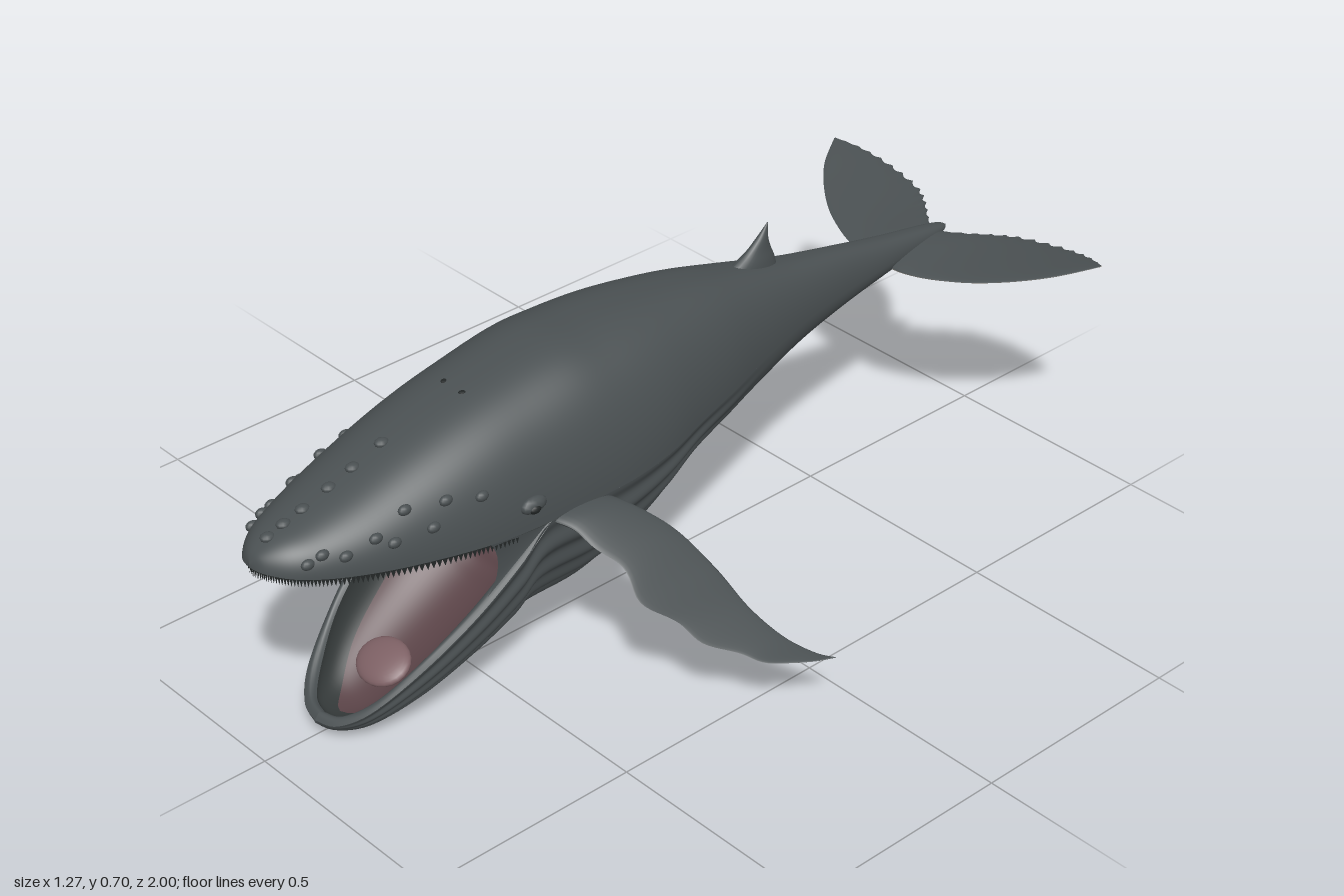
import * as THREE from 'three';

const mat = (name, color) => {
  const m = new THREE.MeshStandardMaterial({ color, side: THREE.DoubleSide });
  m.name = name;
  return m;
};
const lerp = THREE.MathUtils.lerp;

// Smooth interpolation through a table of rows, t in 0..1
function spline(rows, t) {
  const n = rows.length - 1, f = Math.min(Math.max(t, 0), 1) * n;
  const i = Math.min(Math.floor(f), n - 1), s = f - i;
  const p = k => rows[Math.min(Math.max(i + k, 0), n)];
  return rows[0].map((_, c) => {
    const [a, b, d, e] = [p(-1)[c], p(0)[c], p(1)[c], p(2)[c]];
    return b + 0.5 * s * (d - a + s * (2 * a - 5 * b + 4 * d - e + s * (3 * (b - d) + e - a)));
  });
}

// Surface grid from fn(u, v) -> [x, y, z]; front side is du x dv unless flipped
function grid(fn, nu, nv, flip = false) {
  const pos = [], idx = [];
  for (let i = 0; i <= nu; i++) for (let j = 0; j <= nv; j++) pos.push(...fn(i / nu, j / nv));
  for (let i = 0; i < nu; i++) for (let j = 0; j < nv; j++) {
    const a = i * (nv + 1) + j, b = a + nv + 1;
    if (flip) idx.push(a, a + 1, b, b, a + 1, b + 1);
    else idx.push(a, b, a + 1, b, b + 1, a + 1);
  }
  const g = new THREE.BufferGeometry();
  g.setAttribute('position', new THREE.Float32BufferAttribute(pos, 3));
  g.setIndex(idx);
  g.computeVertexNormals();
  return g;
}

// Half-oval section: row = [rimZ, rimY, halfWidth, ridgeZ, ridgeY], angle 0..PI, k scale, e fullness
function arch([z, y, w, rz, ry], a, k = 1, e = 1) {
  const c = Math.cos(a), s = Math.sin(a) * k;
  return [Math.max(w, 0) * Math.sign(c) * Math.abs(c) ** e * k, y + (ry - y) * s, z + (rz - z) * s];
}
const backPoint = (u, a) => arch(spline(upper, u), a, 1, .78);

// Trunk stations: z, side line y, half width, back y, belly y
const trunk = [
  [.43, .41, .207, .668, .12], [.3, .415, .214, .69, .13], [.2, .42, .214, .69, .165],
  [.1, .43, .203, .687, .22], [0, .445, .18, .678, .285], [-.12, .455, .15, .66, .32],
  [-.25, .465, .112, .63, .352], [-.4, .475, .075, .592, .39], [-.55, .48, .05, .562, .42],
  [-.7, .485, .036, .532, .448], [-.82, .488, .025, .512, .468], [-.88, .49, .014, .5, .48],
  [-.9, .49, 0, .49, .49],
];
const snout = [
  [1, .462, 0, 1, .47], [.99, .46, .036, .985, .492], [.95, .452, .08, .945, .514],
  [.88, .442, .118, .88, .533], [.78, .432, .154, .78, .565], [.65, .42, .183, .65, .61],
  [.54, .412, .199, .54, .643],
];
const jaw = [
  [.875, .036, 0, .875, .03], [.86, .042, .052, .85, .012], [.81, .08, .104, .785, 0],
  [.71, .16, .15, .68, .02], [.6, .25, .182, .56, .065], [.5, .34, .2, .475, .1],
];
const upper = [...snout, ...trunk.map(([z, y, w, t]) => [z, y, w, z, t])];
const lower = [...jaw, ...trunk.map(([z, y, w, , b]) => [z, y, w, z, b])];
const jawOuter = lower.slice(0, 7);
const jawInner = jawOuter.map(([z, y, w, kz, ky], i) => {
  const tip = i < 3 ? .025 : 0;
  return [z - tip, y + tip * .3, w * .86, lerp(kz, z, .2) - tip, lerp(ky, y, .2) + .01];
});
const liner = [...jawInner, [.35, .405, .165, .35, .2], [.25, .4, 0, .25, .4]];
const palate = [
  ...upper.slice(0, 8).map(([z, y, w], i) => [z, y, w, z, y - .001 * i]),
  [.35, .405, .175, .35, .39], [.25, .4, 0, .25, .4],
];

export function createModel() {
  const whale = new THREE.Group();
  whale.name = 'whale';
  const skin = mat('slate skin', 0x4a5052);
  const pale = mat('pale fluke underside', 0xb0a99d);
  const pink = mat('mouth pink', 0x5a4347);
  const tonguePink = mat('tongue pink', 0x7d6064);
  const lining = mat('mouth lining', 0x343939);
  const roof = mat('palate grey', 0x565c5d);
  const dark = mat('baleen dark', 0x232727);

  const add = (name, geo, m) => {
    const mesh = new THREE.Mesh(geo, m);
    mesh.name = name;
    whale.add(mesh);
    return mesh;
  };
  const pair = (name, geo, m) => {
    add('left' + name, geo, m);
    add('right' + name, geo, m).scale.x = -1;
  };

  // Back and head, then the pleated throat and belly
  add('back', grid((u, v) => backPoint(u, v * Math.PI), 110, 56), skin);
  add('pleatedBelly', grid((u, v) => {
    const row = spline(lower, u), a = v * Math.PI;
    const fade = THREE.MathUtils.smoothstep(u, .02, .15) * THREE.MathUtils.smoothstep(row[0], -.3, .15);
    return arch(row, a, 1 - .019 * fade * (1 - Math.cos(26 * a)));
  }, 100, 140, true), skin);

  // Mouth interior: grey lining with an oval pink floor
  add('mouthLining', grid((u, v) => arch(spline(liner, u), v * Math.PI), 50, 40), lining);
  add('mouthFloor', grid((u, v) => {
    const spread = .33 * Math.sqrt(Math.sin(u * Math.PI));
    return arch(spline(liner, lerp(.16, .94, u)), (.5 + spread * (2 * v - 1)) * Math.PI, .965);
  }, 50, 30), pink);
  pair('JawLip', grid((u, v) => {
    const a = arch(spline(jawOuter, u), 0), b = arch(spline(jawInner, u), 0);
    return a.map((p, i) => lerp(p, b[i], v) + (i === 1 ? .01 * Math.sin(v * Math.PI) : 0));
  }, 40, 6), skin);
  const tongue = add('tongueTip', new THREE.SphereGeometry(1, 24, 16), tonguePink);
  tongue.scale.set(.066, .02, .055);
  tongue.position.set(0, .092, .7);
  tongue.rotation.x = .5;

  // Roof of the mouth and the fold at its back
  add('palate', grid((u, v) => arch(spline(palate, u), v * Math.PI), 50, 20, true), lining);
  add('palateFold', grid((u, v) => {
    const x = 2 * u - 1;
    return [x * lerp(.13, .16, v), lerp(.355 + .014 * x * x, .416, v), lerp(.47, .53, v) - .03 * x * x];
  }, 20, 4), roof);

  // Skin stretched between the jaws at each mouth corner
  pair('Cheek', grid((u, v) => {
    const edge = spline([[.19, .42, .575], [.184, .37, .55], [.18, .31, .555], [.176, .25, .6]], v);
    return [.204, .41, .43].map((h, i) => lerp(h, edge[i], u));
  }, 8, 12), skin);

  // Baleen fringe under the upper lip
  const teeth = 140;
  pair('Baleen', grid((u, v) => {
    const [z, y, w] = spline(upper, u * 6.3 / (upper.length - 1));
    const tip = Math.round(u * teeth) % 2 ? .028 : .012;
    return [Math.max(w - .008, 0), y + .004 - v * tip, z - .006];
  }, teeth, 1), dark);

  // Bumps, eyes and blowholes seated on the head
  const headPoint = (z, a) => {
    let t = 0;
    while (t < 1 && spline(upper, t)[0] > z) t += .002;
    return backPoint(t, a * Math.PI);
  };
  const bumpGeo = new THREE.SphereGeometry(1, 12, 8);
  const bump = (name, z, a, sx, sy, sz, m = skin) => {
    const b = add(name, bumpGeo, m);
    b.position.set(...headPoint(z, a));
    b.scale.set(sx, sy, sz);
    return b;
  };
  for (const z of [.68, .75, .81, .87, .92, .96]) bump('crownTubercle', z, .5, .013, .009, .016);
  const sideSpots = [[.8, .18], [.73, .24], [.65, .2], [.58, .16], [.77, .13], [.69, .13],
    [.9, .19], [.86, .14], [.93, .14]];
  for (const side of [0, 1]) {
    const at = a => side ? 1 - a : a;
    for (const [z, a] of sideSpots) bump('sideTubercle', z, at(a), .01, .011, .015);
    bump('eyelid', .47, at(.07), .015, .018, .032);
    const eye = bump('eye', .475, at(.065), .009, .01, .014, dark);
    eye.position.x += side ? -.009 : .009;
    bump('blowhole', .5, at(.475), .006, .002, .008, dark).rotation.y = side ? .3 : -.3;
  }

  // Flippers: x, y, leading z, trailing z, half thickness
  const flipper = [
    [.17, .405, .43, .3, .017], [.24, .398, .41, .265, .013], [.32, .352, .375, .212, .008],
    [.4, .278, .355, .172, .005], [.47, .207, .29, .146, .004], [.54, .16, .222, .118, .003],
    [.6, .14, .145, .09, .002], [.637, .137, .07, .068, .001],
  ];
  pair('Flipper', grid((u, v) => {
    const [x, y, lead, trail, h] = spline(flipper, u), p = v * 2 * Math.PI;
    const wave = .009 * Math.sin(u * 34) * Math.sin(u * Math.PI) * (1 + Math.cos(p)) / 2;
    return [x, y + h * Math.sin(p), (lead + trail) / 2 + (lead - trail) / 2 * Math.cos(p) + wave];
  }, 60, 24), skin);

  // Tail flukes with notched trailing edge: x, leading z, trailing z, half thickness
  const fluke = [
    [0, -.7, -.86, .016], [.05, -.697, -.9, .015], [.1, -.705, -.945, .012], [.15, -.722, -.978, .01],
    [.22, -.757, -.994, .008], [.29, -.81, -.995, .006], [.35, -.872, -.982, .004], [.4, -.952, -.957, .001],
  ];
  const flukeHalf = start => grid((u, v) => {
    const [x, lead, trail, h] = spline(fluke, u), p = (start + v) * Math.PI, c = Math.cos(p);
    const notch = .011 * Math.abs(Math.sin(u * 44)) * Math.max(-c, 0) ** 4 * Math.sin(u * Math.PI);
    const y = .477 + .33 * x * x + h * Math.sin(p) - .01 * c * (1 - u);
    return [x, y, (lead + trail) / 2 + (lead - trail) / 2 * c + notch];
  }, 120, 14);
  pair('FlukeTop', flukeHalf(0), skin);
  pair('FlukeUnderside', flukeHalf(1), pale);

  // Hooked dorsal fin: y, leading z, trailing z, half width
  const dorsal = [
    [.585, -.2, -.375, .026], [.62, -.235, -.365, .021], [.645, -.283, -.354, .014],
    [.67, -.316, -.347, .009], [.7, -.346, -.348, .001],
  ];
  add('dorsalFin', grid((u, v) => {
    const [y, lead, trail, h] = spline(dorsal, u), p = v * 2 * Math.PI;
    return [h * Math.sin(p), y, (lead + trail) / 2 + (lead - trail) / 2 * Math.cos(p)];
  }, 20, 24, true), skin);

  return whale;
}
